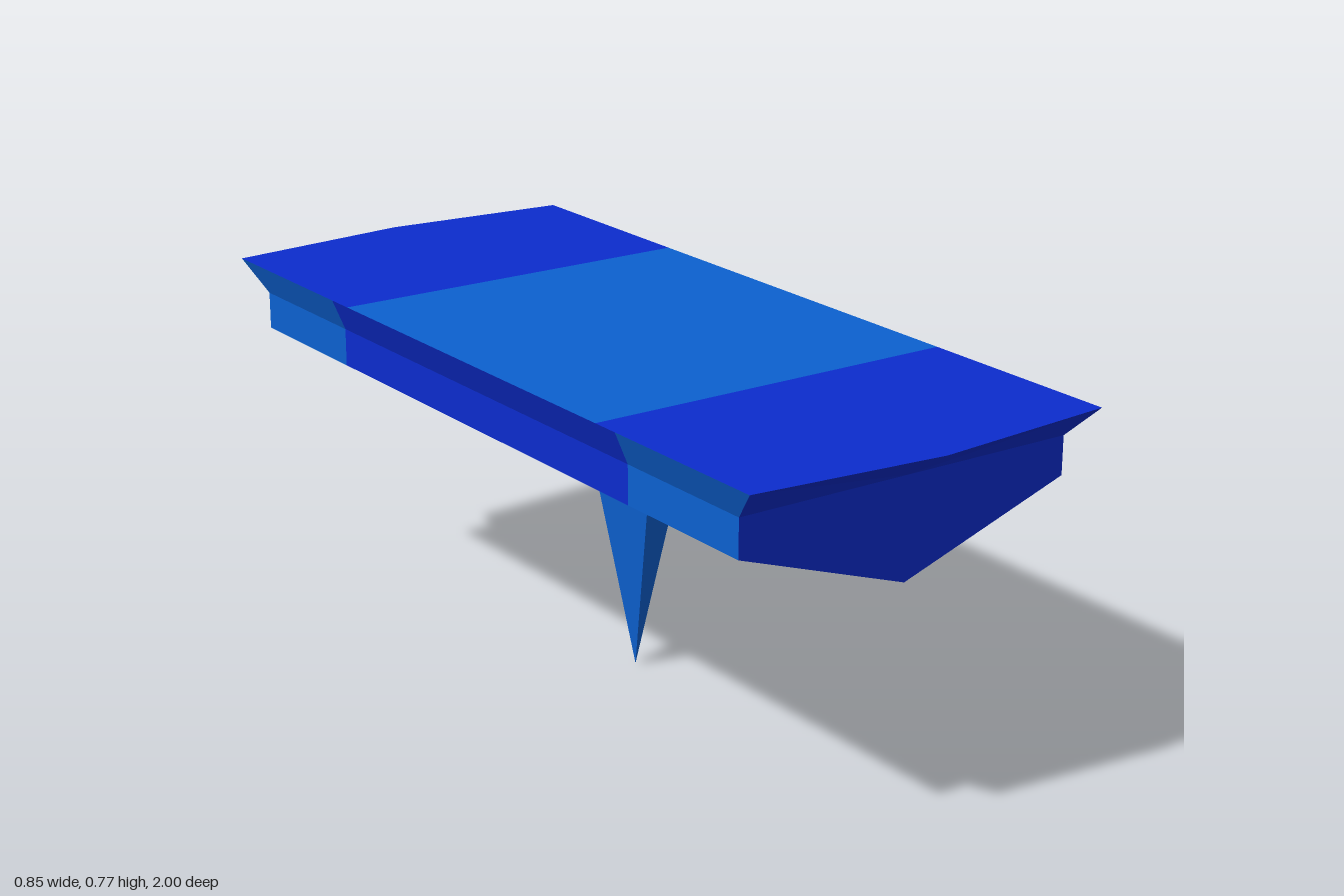
import * as THREE from 'three';

export function createModel() {
  const model = new THREE.Group();
  const blue = new THREE.MeshStandardMaterial({ color: 0x0c2ccd });
  blue.name = 'royal blue';
  const azure = new THREE.MeshStandardMaterial({ color: 0x0c60cf });
  azure.name = 'azure';

  // Makes one flat-faceted mesh. Every polygon is [outward direction, ...corners],
  // given for the +x +z quarter and mirrored to the other three.
  function part(name, material, polygons) {
    const pos = [];
    const v = (p, sx, sz) => new THREE.Vector3(p[0] * sx, p[1], p[2] * sz);
    for (const sx of [1, -1]) for (const sz of [1, -1]) {
      for (const [dir, ...corners] of polygons) {
        const out = v(dir, sx, sz);
        const c = corners.map((p) => v(p, sx, sz));
        for (let i = 1; i < c.length - 1; i++) {
          const normal = c[i].clone().sub(c[0]).cross(c[i + 1].clone().sub(c[0]));
          const tri = normal.dot(out) > 0 ? [c[0], c[i], c[i + 1]] : [c[0], c[i + 1], c[i]];
          tri.forEach((p) => pos.push(p.x, p.y, p.z));
        }
      }
    }
    const g = new THREE.BufferGeometry();
    g.setAttribute('position', new THREE.Float32BufferAttribute(pos, 3));
    g.computeVertexNormals();
    const mesh = new THREE.Mesh(g, material);
    mesh.name = name;
    model.add(mesh);
  }

  const UP = [0, 1, 0], DOWN = [0, -1, 0], SIDE = [1, 0, 0], END = [0, 0, 1];
  const topY = 0.773, lipY = 0.703, wallY = 0.62;
  const topX = 0.427, wallX = 0.397, topZ = 0.96, wallZ = 0.89, splitZ = 0.54, bandZ = 0.475;

  // Key corners of the underside
  const corner = [wallX, wallY, wallZ], hip = [wallX, wallY, splitZ];
  const endPoint = [0, 0.485, wallZ];
  const notch = [0.17, 0.53, 0.68], notchMid = [0, 0.53, 0.68];
  const tooth = [0, 0.45, 0.65];
  const keel = [0.06, 0.505, 0.55], keelMid = [0, 0.505, 0.55];
  const root = [0.037, 0.43, 0.1];
  const atZ = (p, z) => [p[0], p[1], z];
  const atX = (p, x) => [x, p[1], p[2]];

  // Deck with a lighter middle band
  part('deckMiddle', azure, [[UP, [0, topY, 0], [topX, topY, 0], [topX, topY, bandZ], [0, topY, bandZ]]]);
  part('deckEnds', blue, [[UP, [0, topY, bandZ], [topX, topY, bandZ], [topX, topY, topZ], [0, topY, 1]]]);

  // Flared rim and upright wall along the sides
  const sideStrip = (z0, zTop, zWall) => [
    [SIDE, [topX, topY, z0], [topX, topY, zTop], [wallX, lipY, zWall], [wallX, lipY, z0]],
    [SIDE, [wallX, lipY, z0], [wallX, lipY, zWall], [wallX, wallY, zWall], [wallX, wallY, z0]],
  ];
  part('sideMiddle', blue, sideStrip(0, splitZ, splitZ));
  part('sideEnds', azure, sideStrip(splitZ, topZ, wallZ));

  // Peaked end rims and pointed end walls
  part('endRims', blue, [[END, [topX, topY, topZ], [0, topY, 1], [0, lipY, wallZ], [wallX, lipY, wallZ]]]);
  part('endWalls', blue, [[END, [0, lipY, wallZ], [wallX, lipY, wallZ], corner, endPoint]]);

  // Sloping belly
  part('bellyMiddle', blue, [[DOWN, atZ(hip, 0), hip, keel, atZ(keel, 0)]]);
  part('bellyCorners', azure, [[DOWN, corner, hip, keel], [DOWN, corner, keel, notch]]);
  part('endUndersides', blue, [[DOWN, corner, notch, endPoint], [DOWN, notch, endPoint, notchMid]]);
  part('teeth', blue, [
    [DOWN, notch, tooth, notchMid],
    [DOWN, notch, keel, tooth],
    [DOWN, tooth, keel, keelMid],
  ]);

  // Shallow keel leading down to the spike
  part('keel', azure, [
    [DOWN, keel, atZ(keel, 0), atZ(root, 0), root],
    [DOWN, keel, keelMid, atX(root, 0), root],
  ]);
  part('spike', azure, [
    [SIDE, atZ(root, 0), root, [0, 0, 0]],
    [END, atX(root, 0), root, [0, 0, 0]],
  ]);

  return model;
}
